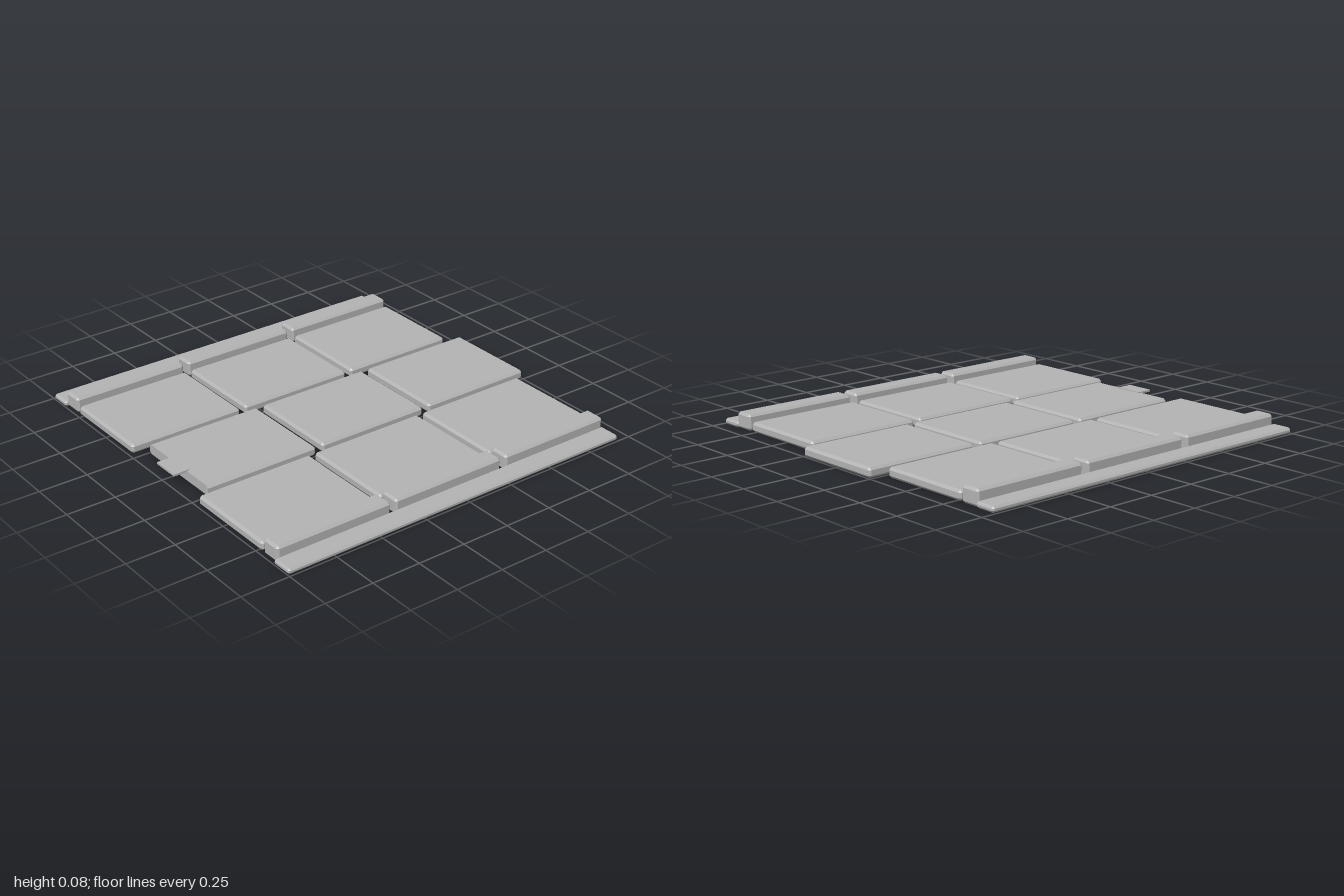
import * as THREE from 'three';
import { ConvexGeometry } from 'three/addons/geometries/ConvexGeometry.js';

const stone = new THREE.MeshStandardMaterial({ color: 0xb3b3b3 });
stone.name = 'grey stone';

// Box with chamfered edges; the -x end can be left square.
function slab(name, [x0, x1], [y0, y1], [z0, z1], bevel = 0.01, squareEnd = false) {
  const points = [];
  for (const right of [false, true]) for (const top of [false, true]) for (const front of [false, true]) {
    const x = right ? x1 : x0, y = top ? y1 : y0, z = front ? z1 : z0;
    const dx = right ? -bevel : bevel, dy = top ? -bevel : bevel, dz = front ? -bevel : bevel;
    points.push(new THREE.Vector3(x, y + dy, z), new THREE.Vector3(x, y, z + dz));
    if (right || !squareEnd) {
      points.pop();
      points.pop();
      points.push(
        new THREE.Vector3(x, y + dy, z + dz),
        new THREE.Vector3(x + dx, y, z + dz),
        new THREE.Vector3(x + dx, y + dy, z));
    }
  }
  const mesh = new THREE.Mesh(new ConvexGeometry(points), stone);
  mesh.name = name;
  return mesh;
}

export function createModel() {
  const group = new THREE.Group();
  group.name = 'pavedFloor';

  const sideColumns = [[-0.985, -0.37], [-0.34, 0.277], [0.308, 0.925]];
  const middleColumns = [[-0.91, -0.3], [-0.265, 0.347], [0.382, 1]];

  // Middle row, staggered towards +x
  middleColumns.forEach((x, i) =>
    group.add(slab('middleTile', x, [0, 0.05], [-0.246, 0.246], 0.012, i === 0)));

  // Outer tiles, kerb blocks and edging strips, mirrored front to back
  for (const side of [1, -1]) {
    const span = (a, b) => (side > 0 ? [a, b] : [-b, -a]);
    for (const x of sideColumns) {
      group.add(slab('outerTile', x, [0, 0.05], span(0.282, 0.774), 0.012));
      group.add(slab('kerbBlock', [x[0], x[1] + 0.004], [0, 0.082], span(0.787, 0.89), 0.012));
    }
    group.add(slab('edgingStrip', [-1, 0.934], [0, 0.03], span(0.882, 0.994), 0.01));
  }

  // Thin tongue on the square end of the middle row
  const tongue = new THREE.Mesh(new THREE.BoxGeometry(0.085, 0.01, 0.144), stone);
  tongue.name = 'tongue';
  tongue.position.set(-0.937, 0.05, 0);
  group.add(tongue);

  return group;
}
